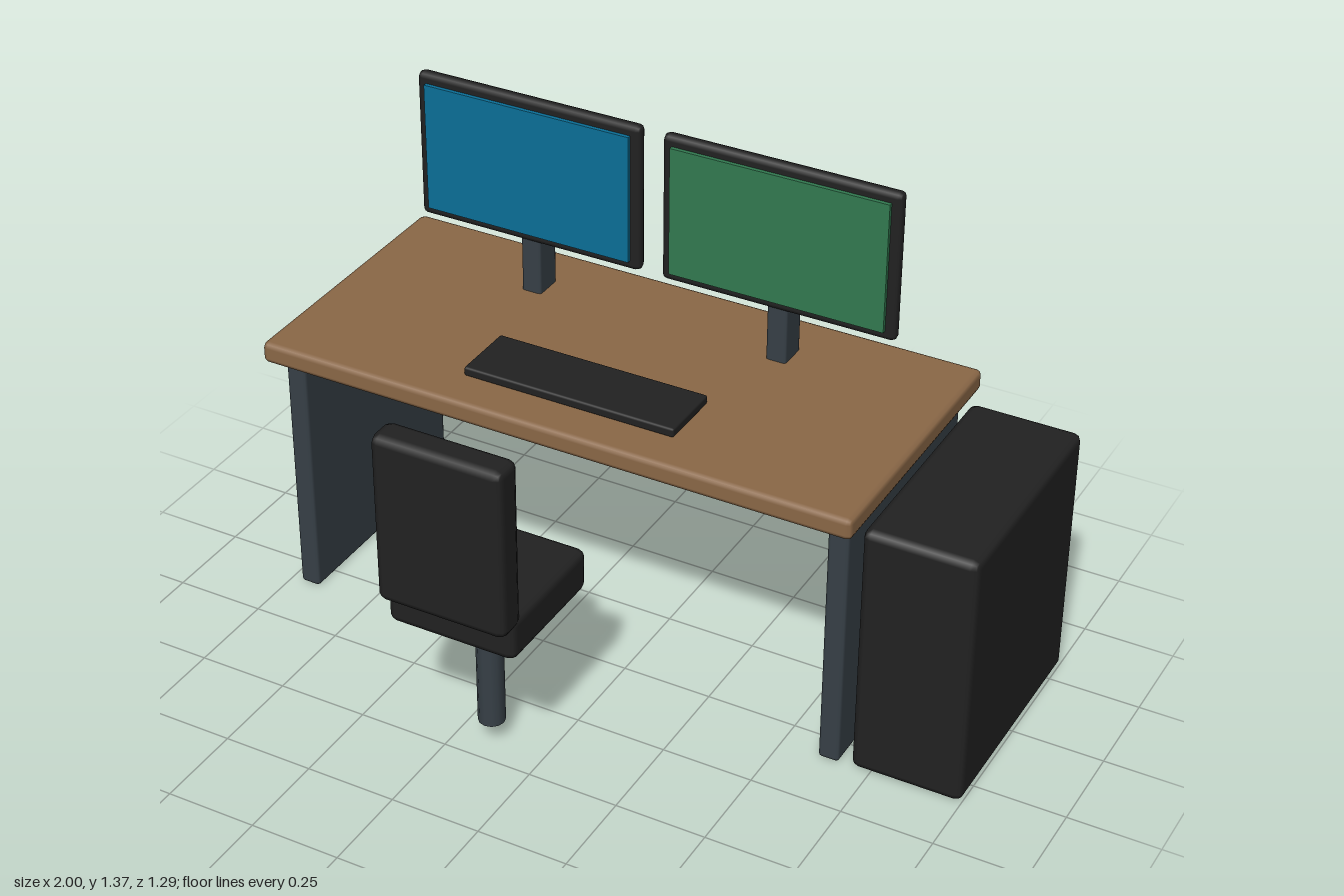
import * as THREE from 'three';
import { RoundedBoxGeometry } from 'three/addons/geometries/RoundedBoxGeometry.js';

const paint = (color) => new THREE.MeshStandardMaterial({ color });

export function createModel() {
  const model = new THREE.Group();
  model.name = 'officeWorkstation';

  const wood = paint(0x8b6847);
  const steel = paint(0x374047);
  const black = paint(0x222222);
  const blue = paint(0x0b7099);
  const green = paint(0x327a50);
  const teal = paint(0x1f8a80);

  // Box given by its extents on each axis, with softened edges
  function box(parent, name, [x0, x1], [y0, y1], [z0, z1], material, bevel) {
    const size = [x1 - x0, y1 - y0, z1 - z0];
    const geometry = bevel
      ? new RoundedBoxGeometry(...size, 1, bevel)
      : new THREE.BoxGeometry(...size);
    const mesh = new THREE.Mesh(geometry, material);
    mesh.name = name;
    mesh.position.set((x0 + x1) / 2, (y0 + y1) / 2, (z0 + z1) / 2);
    parent.add(mesh);
    return mesh;
  }

  function group(name) {
    const g = new THREE.Group();
    g.name = name;
    model.add(g);
    return g;
  }

  // Desk: top and two panel legs
  const desk = group('desk');
  box(desk, 'deskTop', [-1, 0.693], [0.73, 0.79], [-0.645, 0.143], wood, 0.015);
  box(desk, 'rightLegPanel', [-0.97, -0.912], [0, 0.73], [-0.58, 0.083], steel, 0.01);
  box(desk, 'leftLegPanel', [0.605, 0.663], [0, 0.73], [-0.58, 0.083], steel, 0.01);

  // Two monitors, each with a stand and a coloured screen
  [['rightMonitor', -0.517, blue], ['leftMonitor', 0.21, green]].forEach(([name, x, color]) => {
    const monitor = group(name);
    box(monitor, 'frame', [x - 0.332, x + 0.332], [0.945, 1.365], [-0.449, -0.413], black, 0.015);
    box(monitor, 'screen', [x - 0.304, x + 0.304], [0.973, 1.337], [-0.42, -0.402], color);
    box(monitor, 'stand', [x - 0.029, x + 0.029], [0.78, 1.0], [-0.506, -0.42], steel, 0.008);
  });

  // Keyboard
  box(model, 'keyboard', [-0.457, 0.15], [0.788, 0.814], [-0.16, 0.024], black, 0.006);

  // Computer tower beside the desk, with its power light
  const tower = group('computerTower');
  box(tower, 'case', [0.694, 1], [0, 0.73], [-0.58, 0.083], black, 0.022);
  box(tower, 'powerLight', [0.683, 0.7], [0.6, 0.621], [-0.26, -0.239], teal);

  // Chair: seat, back and post
  const chair = group('chair');
  const width = [-0.337, 0.025];
  box(chair, 'seat', width, [0.427, 0.547], [0.238, 0.601], black, 0.022);
  box(chair, 'backrest', width, [0.52, 1.0], [0.556, 0.645], black, 0.022);
  const post = new THREE.Mesh(new THREE.CylinderGeometry(0.036, 0.036, 0.37, 12), steel);
  post.name = 'post';
  post.position.set(-0.156, 0.25, 0.42);
  chair.add(post);

  return model;
}
